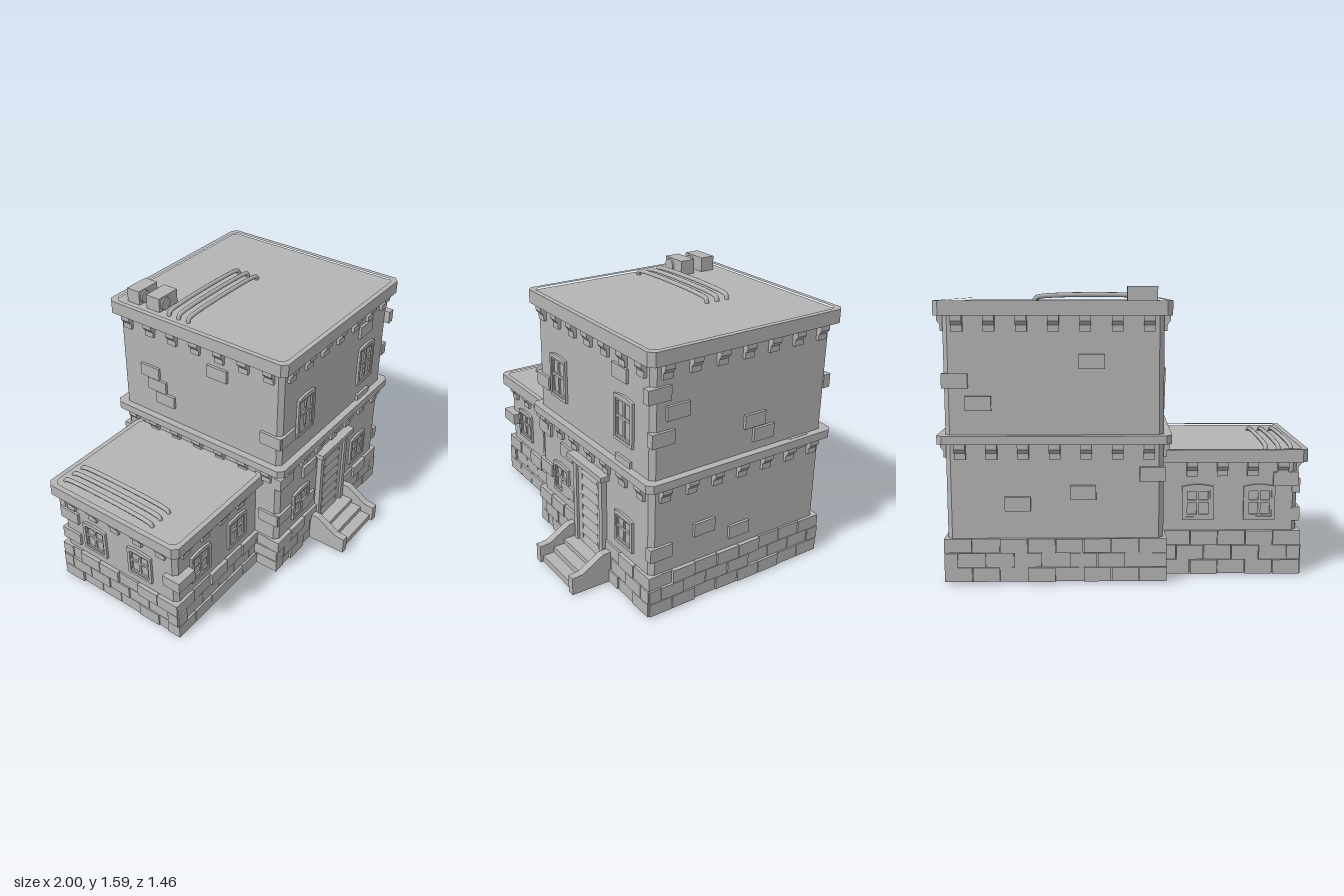
import * as THREE from 'three';

const stone = new THREE.MeshStandardMaterial({ color: 0xb4b4b4 });
stone.name = 'grey stone';

function add(parent, name, geo, x = 0, y = 0, z = 0) {
  const m = new THREE.Mesh(geo, stone);
  m.name = name;
  m.position.set(x, y, z);
  parent.add(m);
  return m;
}

// Box given by its limits
const box = (p, name, x0, x1, y0, y1, z0, z1) =>
  add(p, name, new THREE.BoxGeometry(x1 - x0, y1 - y0, z1 - z0), (x0 + x1) / 2, (y0 + y1) / 2, (z0 + z1) / 2);

let seed = 7;
const rand = () => (seed = (seed * 16807) % 2147483647) / 2147483647;

// Rectangle with cut corners, as plan points
function cutRect(x0, x1, z0, z1, c) {
  return [[x0 + c, z0], [x1 - c, z0], [x1, z0 + c], [x1, z1 - c], [x1 - c, z1], [x0 + c, z1], [x0, z1 - c], [x0, z0 + c]]
    .map(([x, z]) => new THREE.Vector2(x, -z));
}

// Upright prism on a cut-corner plan; rim > 0 leaves only a ring of that width
function slab(p, name, [x0, x1, z0, z1], y0, y1, c, rim = 0) {
  const s = new THREE.Shape(cutRect(x0, x1, z0, z1, c));
  if (rim) s.holes.push(new THREE.Path(cutRect(x0 + rim, x1 - rim, z0 + rim, z1 - rim, c)));
  const g = new THREE.ExtrudeGeometry(s, { depth: y1 - y0, bevelEnabled: false });
  return add(p, name, g.rotateX(-Math.PI / 2), 0, y0, 0);
}

// Side profile (out, up) given a width along the wall
function profile(points, width) {
  const s = new THREE.Shape(points.map(([a, b]) => new THREE.Vector2(a, b)));
  return new THREE.ExtrudeGeometry(s, { depth: width, bevelEnabled: false })
    .translate(0, 0, -width / 2).rotateY(-Math.PI / 2);
}

const corbelGeo = profile([[-0.01, -0.085], [0.018, -0.085], [0.018, -0.052], [0.035, -0.03], [0.035, 0], [-0.01, 0]], 0.06);

function corbels(wall, d, y, count, mid = 0) {
  for (let i = 0; i < count; i++) add(wall, 'corbel', corbelGeo, mid + (i - (count - 1) / 2) * 0.167, y, d);
}

// Courses of base blocks between u0 and u1, d is the wall distance
function baseBlocks(wall, u0, u1, d, y0) {
  const h = (0.25 - y0) / 3, n = Math.round((u1 - u0) / 0.145), step = (u1 - u0) / n;
  for (let r = 0; r < 3; r++) {
    const shift = r % 2 ? step / 2 : 0;
    for (let i = 0; i <= n; i++) {
      const a = Math.max(u0, u0 + i * step - shift), b = Math.min(u1, u0 + (i + 1) * step - shift);
      if (b - a < 0.02) continue;
      box(wall, 'baseBlock', a + 0.002, b - 0.002, y0 + r * h + 0.002, y0 + (r + 1) * h - 0.001,
        d - 0.06, d + 0.012 + Math.floor(rand() * 3) * 0.006);
    }
  }
}

// Loose blocks standing proud of the plaster: [u centre, y centre]
function looseBlocks(wall, d, list) {
  for (const [u, y] of list) box(wall, 'looseBlock', u - 0.069, u + 0.069, y - 0.039, y + 0.039, d - 0.03, d + 0.016);
}

// Four-pane window with a slightly arched head
function arched(Type, w, h, rise) {
  const s = new Type();
  s.moveTo(-w / 2, 0);
  s.lineTo(w / 2, 0);
  s.lineTo(w / 2, h - rise);
  s.quadraticCurveTo(0, h + rise, -w / 2, h - rise);
  s.closePath();
  return s;
}
function rectHole(x0, x1, y0, y1) {
  return new THREE.Path([[x0, y0], [x0, y1], [x1, y1], [x1, y0]].map(([x, y]) => new THREE.Vector2(x, y)));
}
function windowAt(wall, u, y, d, h) {
  const g = new THREE.Group();
  g.name = 'window';
  g.position.set(u, y, d);
  wall.add(g);
  const outer = arched(THREE.Shape, 0.174, h, 0.012);
  outer.holes.push(rectHole(-0.068, 0.068, 0.018, h - 0.028));
  add(g, 'windowFrame', new THREE.ExtrudeGeometry(outer, { depth: 0.055, bevelEnabled: false, curveSegments: 6 }), 0, 0, -0.04);
  const sash = new THREE.Shape([[-0.07, 0.016], [0.07, 0.016], [0.07, h - 0.026], [-0.07, h - 0.026]].map(([a, b]) => new THREE.Vector2(a, b)));
  const mid = h * 0.52;
  for (const [a, b] of [[-0.058, -0.007], [0.007, 0.058]])
    sash.holes.push(rectHole(a, b, 0.03, mid - 0.007), rectHole(a, b, mid + 0.007, h - 0.04));
  add(g, 'windowSash', new THREE.ExtrudeGeometry(sash, { depth: 0.012, bevelEnabled: false }), 0, 0, -0.003);
}

// Four wall frames around a centre: local x runs along the wall, local z points outward
function wallFrames(p, x, z) {
  const names = ['frontWall', 'leftWall', 'backWall', 'rightWall'];
  return names.map((name, i) => {
    const g = new THREE.Group();
    g.name = name;
    g.position.set(x, 0, z);
    g.rotation.y = i * Math.PI / 2;
    p.add(g);
    return g;
  });
}

// Three roof pipes with ends bent down
function pipes(p, x, y, z, len, turn) {
  const h = len / 2 - 0.013;
  const pts = [[-h, -0.03], [-h + 0.002, -0.01], [-h + 0.02, 0], [h - 0.02, 0], [h - 0.002, -0.01], [h, -0.03]];
  const path = new THREE.CatmullRomCurve3(pts.map(([a, b]) => new THREE.Vector3(a, b, 0)));
  const geo = new THREE.TubeGeometry(path, 48, 0.013, 8);
  const g = new THREE.Group();
  g.name = 'roofPipes';
  g.position.set(x, y, z);
  g.rotation.y = turn;
  for (const k of [-1, 0, 1]) add(g, 'roofPipe', geo, 0, 0, k * 0.069);
  p.add(g);
}

export function createModel() {
  const model = new THREE.Group();
  model.name = 'building';

  // Main block
  const main = new THREE.Group();
  main.name = 'mainBlock';
  model.add(main);
  const cx = 0.377, cz = -0.11, D = 0.58;
  const around = r => [cx - r, cx + r, cz - r, cz + r];
  slab(main, 'mainWalls', around(D), 0.02, 1.46, 0.026);
  slab(main, 'baseCore', around(0.587), 0.01, 0.245, 0.01);
  slab(main, 'floorBand', around(0.622), 0.765, 0.812, 0.03);
  slab(main, 'mainRoof', around(0.6), 1.44, 1.505, 0.02);
  slab(main, 'mainCornice', around(0.622), 1.44, 1.517, 0.03, 0.03);

  const walls = wallFrames(main, cx, cz);
  walls.forEach((w, i) => {
    corbels(w, D, 1.442, 7);
    corbels(w, D, 0.767, 7);
    const runs = i === 0 ? [[-0.598, -0.153], [0.153, 0.598]] : [[-0.598, 0.598]];
    for (const [a, b] of runs) baseBlocks(w, a, b, D, 0.01);
  });
  const [front, left, back, right] = walls;
  looseBlocks(front, D, [[0.303, 1.31], [0.335, 0.81], [-0.515, 0.98], [-0.515, 0.68], [-0.262, 0.615], [-0.515, 0.412], [-0.26, 0.36]]);
  looseBlocks(left, D, [[-0.43, 1.17], [-0.52, 1.04], [-0.545, 1.28], [0.07, 0.995], [0.135, 0.905], [0.39, 0.775], [-0.24, 0.445], [-0.52, 0.38], [0, 0.35]]);
  looseBlocks(back, D, [[0.2, 1.2], [-0.4, 0.98], [-0.52, 1.1], [0.15, 0.5], [-0.2, 0.44], [0.52, 0.6]]);
  looseBlocks(right, D, [[0.15, 1.28], [-0.3, 1.03], [-0.24, 0.95], [-0.35, 1.11], [0.52, 0.98], [0.52, 0.41]]);
  for (const u of [-0.338, 0.338]) {
    windowAt(front, u, 0.93, D, 0.265);
    windowAt(front, u, 0.31, D, 0.2);
  }

  // Slatted door with frame and lintel
  const door = new THREE.Group();
  door.name = 'door';
  front.add(door);
  box(door, 'doorPanel', -0.125, 0.125, 0.1, 0.635, 0.56, 0.588);
  for (const s of [-1, 1]) box(door, 'doorPost', s * 0.138 - 0.016, s * 0.138 + 0.016, 0.1, 0.64, 0.56, 0.612);
  box(door, 'doorLintel', -0.185, 0.185, 0.637, 0.668, 0.56, 0.635);
  for (const s of [-1, 1]) box(door, 'doorStile', s * 0.104 - 0.022, s * 0.104 + 0.022, 0.1, 0.632, 0.58, 0.598);
  const slat = profile([[0, 0], [0.014, 0], [0.002, 0.055], [0, 0.055]], 0.165);
  for (let i = 0; i < 8; i++) add(door, 'doorSlat', slat, 0, 0.113 + i * 0.065, 0.588);

  // Entrance steps
  const steps = new THREE.Group();
  steps.name = 'entranceSteps';
  front.add(steps);
  const cheek = profile([[0.57, 0.01], [0.838, 0.01], [0.838, 0.115], [0.775, 0.12], [0.64, 0.2], [0.57, 0.2]], 0.045);
  for (const s of [-1, 1]) add(steps, 'stepCheek', cheek, s * 0.187, 0, 0);
  [[0.05, 0.82], [0.085, 0.75], [0.115, 0.68]].forEach(([y, z]) => box(steps, 'step', -0.166, 0.166, 0.01, y, 0.56, z));

  // Roof units with round fans
  for (const [z0, z1] of [[-0.64, -0.55], [-0.495, -0.4]]) {
    box(main, 'roofUnit', -0.17, -0.01, 1.5, 1.59, z0, z1);
    const fan = new THREE.CylinderGeometry(0.038, 0.038, 0.012, 20).rotateX(Math.PI / 2);
    add(main, 'roofFan', fan, -0.122, 1.545, z1 + 0.005);
  }
  pipes(main, 0.17, 1.532, -0.266, 0.69, 0);

  // Low wing, open underneath
  const wing = new THREE.Group();
  wing.name = 'sideWing';
  model.add(wing);
  const wx = -0.475, wz = -0.115, WX = 0.475, WZ = 0.425;
  slab(wing, 'wingWalls', [-0.95, -0.17, wz - WZ, wz + WZ], 0.01, 0.65, 0.025, 0.022);
  slab(wing, 'wingRoof', [-0.98, -0.19, wz - 0.455, wz + 0.455], 0.64, 0.7, 0.02);
  slab(wing, 'wingCornice', [-1, -0.17, wz - 0.475, wz + 0.475], 0.64, 0.71, 0.03, 0.03);

  const [wf, , wb, wr] = wallFrames(wing, wx, wz);
  for (const [w, s] of [[wf, 1], [wb, -1]]) {
    corbels(w, WZ, 0.642, 4, -s * 0.1425);
    for (const x of [-0.74, -0.4]) windowAt(w, s * (x - wx), 0.31, WZ, 0.2);
    baseBlocks(w, s > 0 ? -0.495 : -0.27, s > 0 ? 0.27 : 0.495, WZ, 0);
  }
  corbels(wr, WX, 0.642, 5);
  for (const u of [-0.17, 0.17]) windowAt(wr, u, 0.31, WX, 0.2);
  baseBlocks(wr, -0.443, 0.443, WX, 0);
  // Corner block of the wing
  box(wing, 'cornerBlock', -0.98, -0.84, 0.38, 0.452, 0.24, 0.357);
  looseBlocks(wr, WX, [[-0.36, 0.5], [-0.36, 0.34]]);
  looseBlocks(wb, WZ, [[0.41, 0.54]]);
  pipes(wing, -0.843, 0.717, -0.2, 0.68, Math.PI / 2);

  return model;
}
